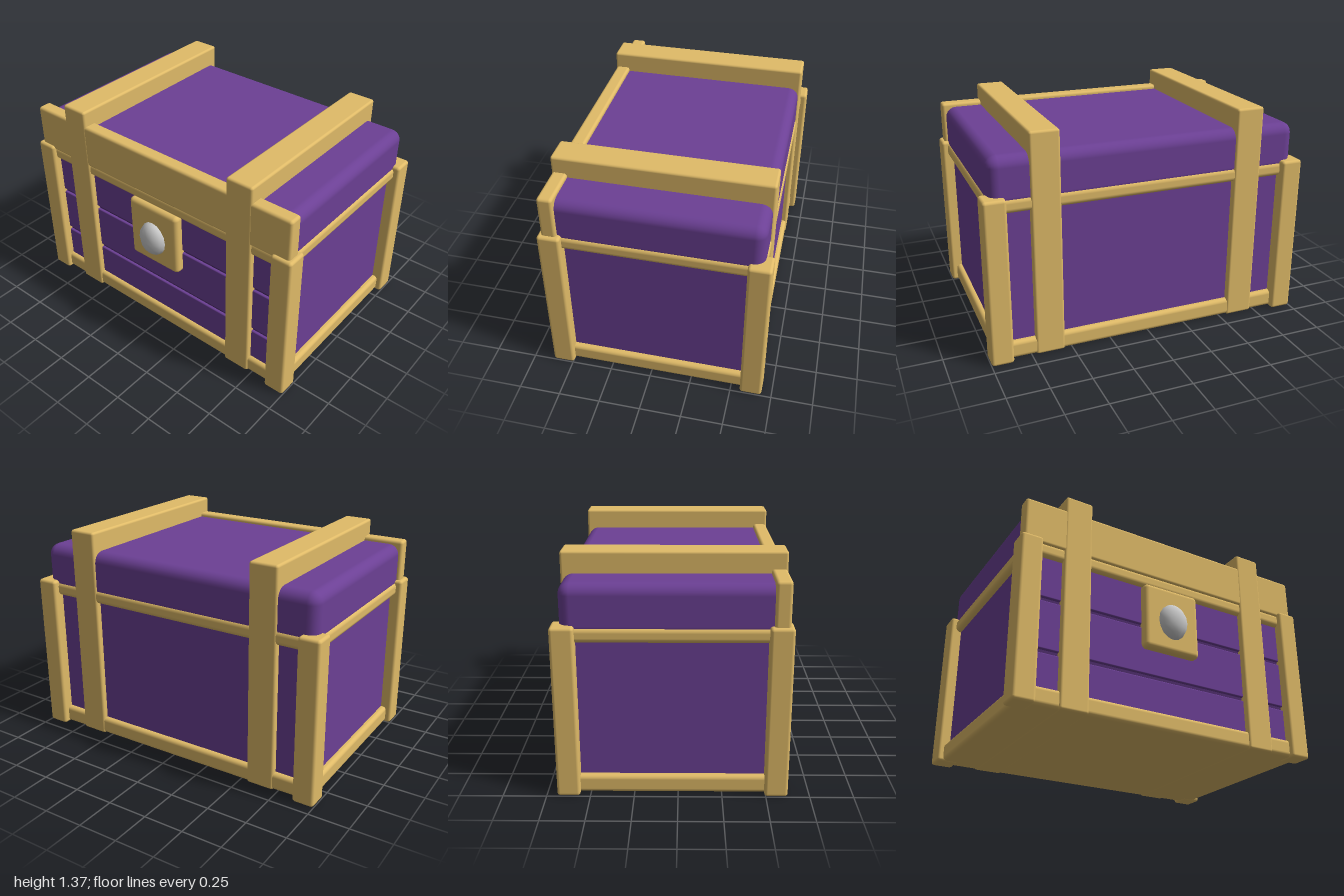
import * as THREE from 'three';
import { RoundedBoxGeometry } from 'three/addons/geometries/RoundedBoxGeometry.js';

const gold = new THREE.MeshStandardMaterial({ color: 0xe0bb68 });
const purple = new THREE.MeshStandardMaterial({ color: 0x6c4095 });
const darkPurple = new THREE.MeshStandardMaterial({ color: 0x4d2d6b });
const grey = new THREE.MeshStandardMaterial({ color: 0xcccccc });

// Rounded block given by its extents on each axis
function block(name, [x0, x1], [y0, y1], [z0, z1], radius, material) {
  const geometry = new RoundedBoxGeometry(x1 - x0, y1 - y0, z1 - z0, 3, radius);
  const mesh = new THREE.Mesh(geometry, material);
  mesh.position.set((x0 + x1) / 2, (y0 + y1) / 2, (z0 + z1) / 2);
  mesh.name = name;
  return mesh;
}

export function createModel() {
  const chest = new THREE.Group();
  chest.name = 'chest';

  // Body, with its front clad in three planks
  chest.add(block('body', [-0.93, 0.93], [0.05, 0.97], [-0.62, 0.55], 0.01, purple));
  chest.add(block('plankGaps', [-0.92, 0.92], [0.1, 0.93], [0.5, 0.553], 0.005, darkPurple));
  [[0.06, 0.32], [0.343, 0.64], [0.662, 0.95]].forEach((y) => {
    chest.add(block('frontPlank', [-0.925, 0.925], y, [0.5, 0.57], 0.008, purple));
  });

  // Gold base and rim
  chest.add(block('base', [-0.965, 0.965], [0.005, 0.113], [-0.652, 0.597], 0.025, gold));
  chest.add(block('rim', [-0.965, 0.965], [0.912, 1.0], [-0.652, 0.597], 0.03, gold));

  // Lid cushion and its front board
  chest.add(block('lid', [-0.955, 0.955], [0.94, 1.24], [-0.645, 0.59], 0.065, purple));
  chest.add(block('lidFrontBoard', [-0.977, 0.977], [0.985, 1.265], [0.515, 0.604], 0.018, gold));

  for (const side of [-1, 1]) {
    const span = (a, b) => (side > 0 ? [a, b] : [-b, -a]);
    // Strap wrapping the whole chest
    chest.add(block('strap', span(0.547, 0.723), [0.003, 1.365], [-0.656, 0.607], 0.015, gold));
    // Corner posts
    chest.add(block('frontPost', span(0.866, 1), [0, 1.012], [0.492, 0.625], 0.018, gold));
    chest.add(block('backPost', span(0.866, 1), [0, 1.012], [-0.69, -0.557], 0.018, gold));
  }

  // Lock plate and knob
  chest.add(block('lockPlate', [-0.19, 0.19], [0.5, 0.922], [0.54, 0.623], 0.028, gold));
  const knob = new THREE.Mesh(new THREE.SphereGeometry(1, 12, 8), grey);
  knob.name = 'knob';
  knob.scale.set(0.098, 0.116, 0.07);
  knob.position.set(0, 0.695, 0.62);
  chest.add(knob);

  return chest;
}
